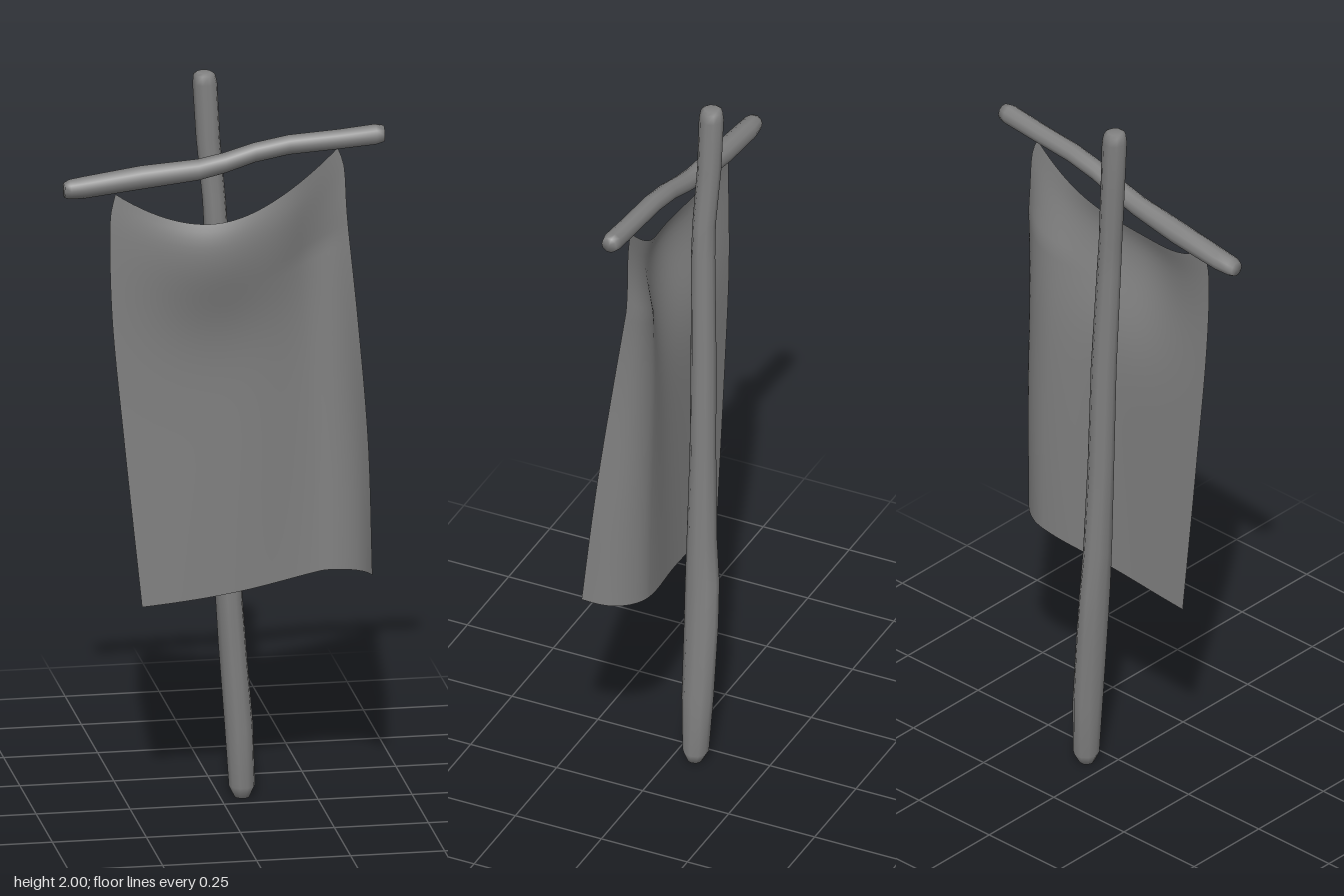
import * as THREE from 'three';

const SIDES = 10;

function surface(positions, index, name, side = THREE.FrontSide) {
  const geo = new THREE.BufferGeometry();
  geo.setAttribute('position', new THREE.Float32BufferAttribute(positions, 3));
  geo.setIndex(index);
  geo.computeVertexNormals();
  const mesh = new THREE.Mesh(geo, new THREE.MeshStandardMaterial({ color: 0x808080, side }));
  mesh.name = name;
  return mesh;
}

// Crooked branch lofted through sections [x, y, z, radius, depth radius] along 'x' or 'y'
function branch(sections, axis, name) {
  const first = sections[0], last = sections[sections.length - 1];
  const rows = [[...first.slice(0, 3), 0], ...sections, [...last.slice(0, 3), 0]];
  const pos = [], index = [];
  rows.forEach(([x, y, z, r, rz = r], i) => {
    for (let j = 0; j < SIDES; j++) {
      const a = (j / SIDES) * Math.PI * 2, c = Math.cos(a), s = Math.sin(a);
      if (axis === 'y') pos.push(x + r * c, y, z + rz * s);
      else pos.push(x, y + r * s, z + rz * c);
      if (i < rows.length - 1) {
        const k = (j + 1) % SIDES, p = i * SIDES, q = p + SIDES;
        index.push(p + j, q + j, p + k, q + j, q + k, p + k);
      }
    }
  });
  return surface(pos, index, name);
}

// Smooth edge line through a few points, top to bottom
const edge = (pts) => new THREE.CatmullRomCurve3(pts.map(([x, y]) => new THREE.Vector3(x, y, 0)));
const gauss = (x, c, w) => Math.exp(-(((x - c) / w) ** 2));

function cloth() {
  const left = edge([[-0.292, 1.7], [-0.304, 1.65], [-0.307, 1.58], [-0.3, 1.36], [-0.268, 1.02], [-0.22, 0.56]]);
  const right = edge([[0.3, 1.795], [0.316, 1.75], [0.325, 1.62], [0.35, 1.32], [0.37, 1.0], [0.374, 0.65]]);
  const cols = 40, rows = 44, pos = [], index = [];
  for (let i = 0; i <= rows; i++) {
    const v = i / rows, l = left.getPointAt(v), r = right.getPointAt(v);
    for (let j = 0; j <= cols; j++) {
      const u = 1 - (1 - j / cols) ** 1.5; // finer columns at the curled edge
      const curl = Math.max(0, (u - 0.82) / 0.18);
      const x = THREE.MathUtils.lerp(l.x, r.x, u) + 0.028 * v * Math.sin(Math.PI * curl);
      const sag = 4 * u * (1 - u) * (0.125 * (1 - v) ** 2 + 0.012 * v);
      const y = THREE.MathUtils.lerp(l.y, r.y, u) - sag;
      // slack belly under the bar, diagonal fold, and forward curl of one edge
      const belly = 0.066 * gauss(u, 0.44, 0.3) * gauss(v, 0.08, v < 0.08 ? 0.15 : 0.2);
      const center = 0.92 - 0.12 * v;
      const fold = (0.012 * v - 0.042) * gauss(u, center, u < center ? 0.14 + 0.14 * v : 0.15) * Math.min(1, v * 5);
      const z = 0.01 + belly + fold + 0.113 * v * curl ** 1.5;
      pos.push(x, y, z);
      if (i < rows && j < cols) {
        const a = i * (cols + 1) + j, b = a + cols + 1;
        index.push(a, b, a + 1, b, b + 1, a + 1);
      }
    }
  }
  return surface(pos, index, 'cloth', THREE.DoubleSide);
}

export function createModel() {
  const model = new THREE.Group();
  model.name = 'banner';

  model.add(branch([
    [0.058, 0.004, -0.06, 0.02], [0.058, 0.035, -0.062, 0.035], [0.05, 0.2, -0.064, 0.038, 0.043],
    [0.033, 0.42, -0.066, 0.037, 0.047], [0.024, 0.55, -0.065, 0.036, 0.047], [0.018, 0.68, -0.061, 0.036, 0.041],
    [0.008, 0.95, -0.059, 0.035], [0, 1.25, -0.057, 0.034], [-0.012, 1.55, -0.05, 0.032],
    [-0.018, 1.65, -0.05, 0.031], [-0.033, 1.82, -0.058, 0.032], [-0.041, 1.97, -0.06, 0.033],
    [-0.043, 1.994, -0.06, 0.029], [-0.043, 2, -0.06, 0.02],
  ], 'y', 'pole'));

  model.add(branch([
    [-0.425, 1.712, -0.004, 0.02], [-0.41, 1.714, -0.004, 0.026], [-0.37, 1.717, -0.005, 0.029],
    [-0.22, 1.736, -0.005, 0.031], [-0.07, 1.752, 0.003, 0.028], [0, 1.768, 0.006, 0.027],
    [0.08, 1.793, 0.008, 0.026], [0.17, 1.81, 0.01, 0.026], [0.3, 1.819, 0.013, 0.026],
    [0.4, 1.828, 0.015, 0.027], [0.422, 1.829, 0.015, 0.022],
  ], 'x', 'crossbar'));

  model.add(cloth());
  return model;
}
